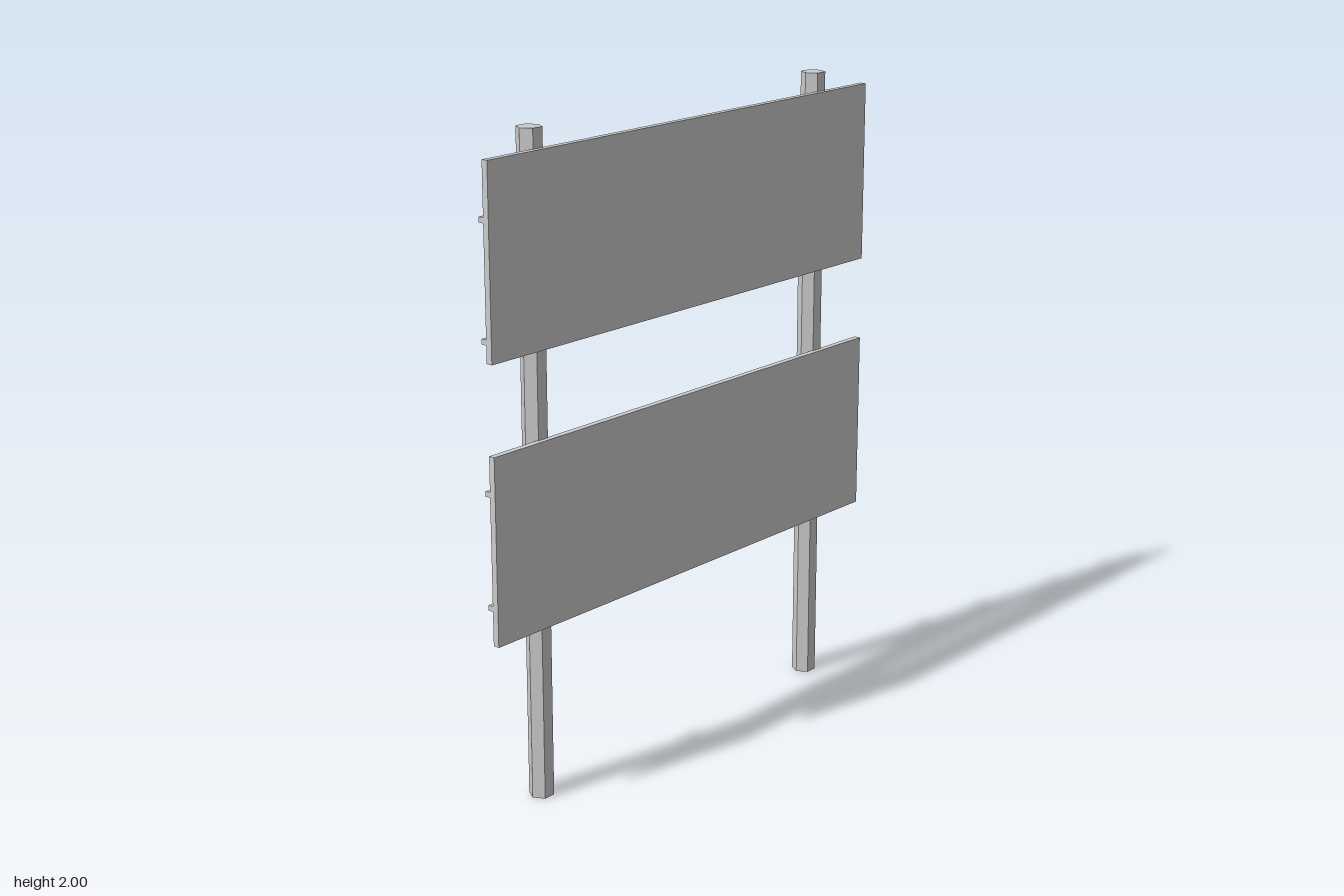
import * as THREE from 'three';

export function createModel() {
  const model = new THREE.Group();
  const mat = new THREE.MeshStandardMaterial({ color: 0xcccccc, flatShading: true });

  const add = (name, geometry, x, y, z) => {
    const mesh = new THREE.Mesh(geometry, mat);
    mesh.name = name;
    mesh.position.set(x, y, z);
    model.add(mesh);
  };
  // Box given by its x range, centre and size in y and z
  const box = (name, x0, x1, y, h, z, d) =>
    add(name, new THREE.BoxGeometry(x1 - x0, h, d), (x0 + x1) / 2, y, z);

  const postZ = 0.626;

  // Hexagonal posts
  for (const s of [1, -1]) {
    add(s > 0 ? 'frontPost' : 'backPost', new THREE.CylinderGeometry(0.038, 0.038, 2, 6), -0.006, 1, s * postZ);
  }

  // Two sign panels, each on two rails clamped to the posts
  for (const [label, y] of [['upper', 1.659], ['lower', 0.828]]) {
    box(label + 'Panel', 0.022, 0.042, y, 0.566, 0, 1.67);
    for (const railY of [y + 0.117, y - 0.223].map((v) => v + (label === 'lower' ? 0.052 : 0))) {
      box(label + 'Rail', 0.004, 0.022, railY, 0.016, 0, 1.67);
      for (const s of [1, -1]) box(label + 'Clamp', -0.045, 0.004, railY, 0.016, s * postZ, 0.16);
    }
  }
  return model;
}
